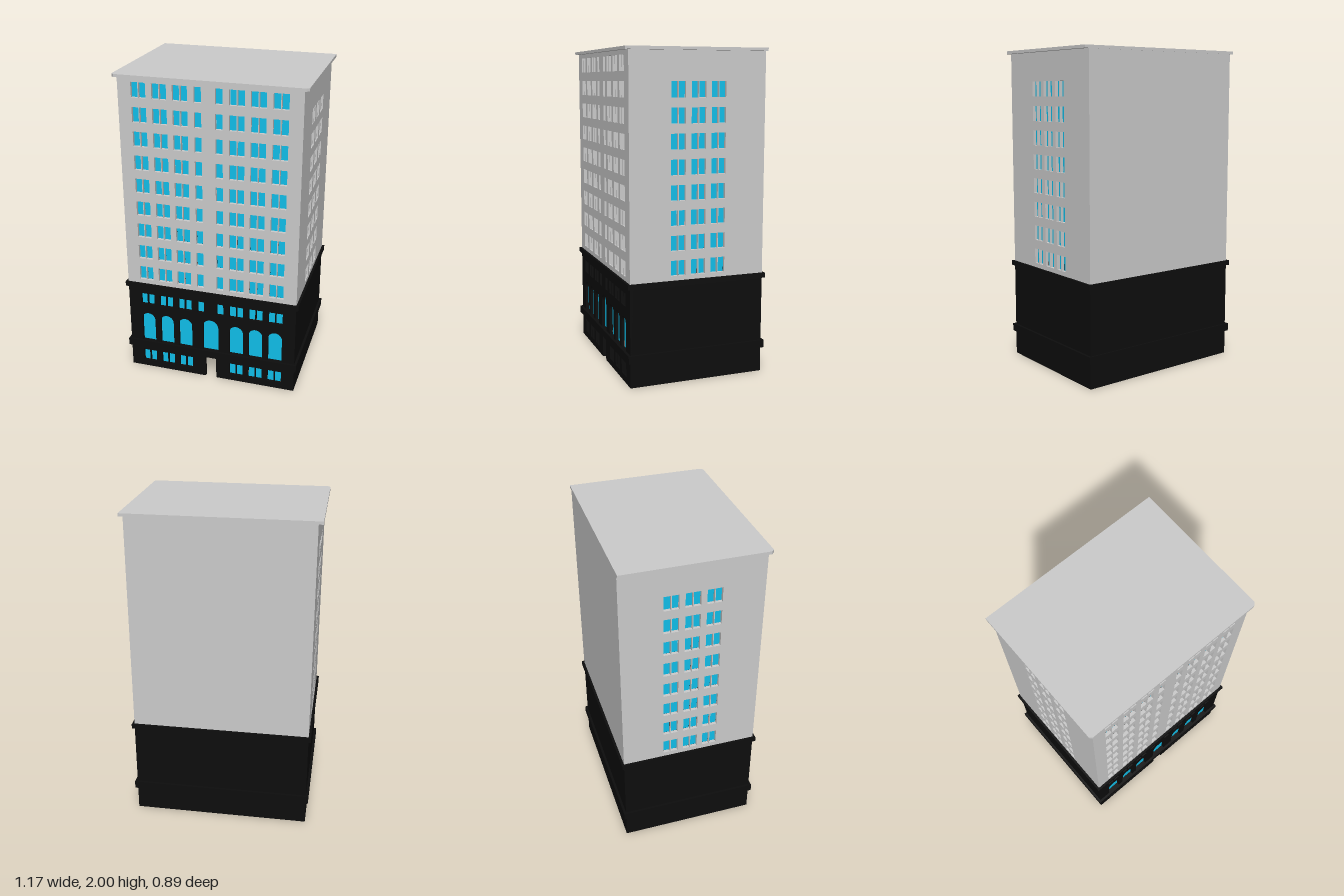
import * as THREE from 'three';

const grey = new THREE.MeshStandardMaterial({ color: 0xcccccc });
const black = new THREE.MeshStandardMaterial({ color: 0x0d0d0d });
const blue = new THREE.MeshStandardMaterial({ color: 0x10bfea, side: THREE.DoubleSide });

const W = 1.11, BACK = -0.433, FRONT = 0.425, D = FRONT - BACK, MID = (FRONT + BACK) / 2;
const T = 0.02;                        // wall thickness
const BASE = 0.62, ROOF = 1.982;

function polygon(points) {
  return new THREE.Shape(points.map(([x, y]) => new THREE.Vector2(x, y)));
}

function rect(x0, x1, y0, y1) {
  return polygon([[x0, y0], [x1, y0], [x1, y1], [x0, y1]]);
}

// Two narrow lights with a thin mullion between them
function pair(cx, y0, y1) {
  return [rect(cx - 0.0455, cx - 0.0025, y0, y1), rect(cx + 0.0025, cx + 0.0455, y0, y1)];
}

function arch(cx, r, y0, top) {
  const s = new THREE.Shape();
  s.moveTo(cx - r, y0);
  s.lineTo(cx + r, y0);
  s.lineTo(cx + r, top - r);
  s.absarc(cx, top - r, r, 0, Math.PI, false);
  s.closePath();
  return s;
}

function mesh(name, geometry, material) {
  const m = new THREE.Mesh(geometry, material);
  m.name = name;
  return m;
}

// Wall whose outer face is at local z = 0, with a pane behind each opening
function wall(name, outline, openings, material) {
  const g = new THREE.Group();
  g.name = name;
  outline.holes = openings;
  const geo = new THREE.ExtrudeGeometry(outline, { depth: T, bevelEnabled: false, curveSegments: 10 });
  geo.translate(0, 0, -T);
  g.add(mesh(name + 'Masonry', geo, material));
  if (openings.length) {
    const panes = mesh(name + 'Glass', new THREE.ShapeGeometry(openings, 10), blue);
    panes.position.z = -T - 0.0005;
    g.add(panes);
  }
  return g;
}

// Horizontal slab or ring around the building
function slab(name, outline, y0, y1, material) {
  const geo = new THREE.ExtrudeGeometry(outline, { depth: y1 - y0, bevelEnabled: false });
  geo.rotateX(-Math.PI / 2);           // shape y becomes -z
  geo.translate(0, y0, 0);
  return mesh(name, geo, material);
}

export function createModel() {
  const model = new THREE.Group();
  model.name = 'officeBuilding';
  const bays = [-0.426, -0.298, -0.171, 0.171, 0.298, 0.426];

  // Window openings of the tower
  const frontOpenings = [], sideOpenings = [];
  for (let i = 0; i < 9; i++) {
    const y0 = 0.663 + i * 0.15, y1 = y0 + 0.093;
    bays.forEach(x => frontOpenings.push(...pair(x, y0, y1)));
    for (const s of [-1, 1]) frontOpenings.push(rect(s * 0.064 - 0.022, s * 0.064 + 0.022, y0, y1));
    if (i < 8) for (const x of [-0.127, 0, 0.127]) sideOpenings.push(...pair(x, y0, y1));
  }

  // Openings of the base: small windows, arches and a doorway cut in the outline
  const baseOpenings = [arch(0, 0.052, 0.2, 0.43)];
  bays.forEach(x => baseOpenings.push(
    ...pair(x, 0.478, 0.558), arch(x, 0.0455, 0.2, 0.412), ...pair(x, 0.042, 0.127)));
  for (const s of [-1, 1]) baseOpenings.push(rect(s * 0.064 - 0.022, s * 0.064 + 0.022, 0.478, 0.558));
  const h = W / 2, door = 0.036;
  const baseOutline = polygon([[-h, 0], [-door, 0], [-door, 0.155], [door, 0.155],
    [door, 0], [h, 0], [h, BASE], [-h, BASE]]);

  // Walls of both storeys
  const levels = [
    ['tower', BASE, ROOF, grey, rect(-h, h, BASE, ROOF), frontOpenings, sideOpenings],
    ['base', 0, BASE, black, baseOutline, baseOpenings, []],
  ];
  for (const [name, y0, y1, material, frontOutline, frontHoles, sideHoles] of levels) {
    const front = wall(name + 'FrontWall', frontOutline, frontHoles, material);
    front.position.z = FRONT;
    const back = wall(name + 'BackWall', rect(-h, h, y0, y1), [], material);
    back.position.z = BACK;
    back.rotation.y = Math.PI;
    model.add(front, back);
    for (const s of [-1, 1]) {
      const side = wall(name + (s > 0 ? 'LeftWall' : 'RightWall'),
        rect(-D / 2, D / 2, y0, y1), sideHoles, material);
      side.position.set(s * h, 0, MID);
      side.rotation.y = s * Math.PI / 2;
      model.add(side);
    }
  }

  // Ledges: the upper one is also the ceiling of the hollow base
  const o = 0.015;
  model.add(slab('upperLedge', rect(-h - o, h + o, -FRONT - o, -BACK + o), 0.605, 0.635, black));
  const ring = rect(-h - o, h + o, -FRONT - o, -BACK + o);
  ring.holes = [rect(-h + T, h - T, -FRONT + T, -BACK - T)];
  model.add(slab('lowerLedge', ring, 0.155, 0.203, black));

  // Roof slab, chamfered at the front corners and flush at the back
  const r = 0.583, f = -0.447, c = 0.016;
  model.add(slab('roof', polygon([[-r, f + c], [-r + c, f], [r - c, f], [r, f + c],
    [r, 0.435], [-r, 0.435]]), ROOF, 2, grey));
  return model;
}
